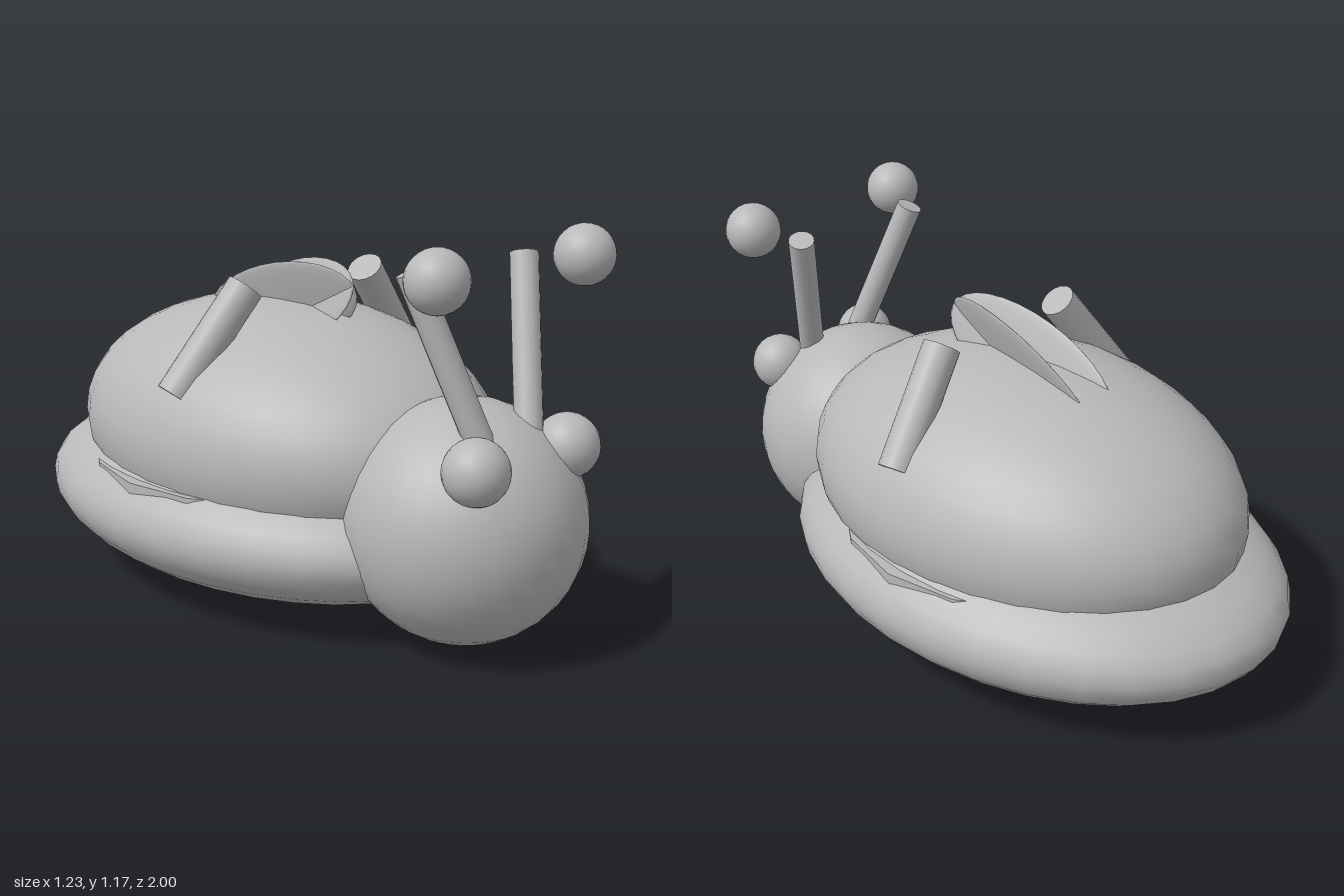
import * as THREE from 'three';

const grey = new THREE.MeshStandardMaterial({ color: 0xb8b8b8 });
grey.name = 'plain grey';

export function createModel() {
  const model = new THREE.Group();
  model.name = 'snail';

  const add = (name, geometry) => {
    const mesh = new THREE.Mesh(geometry, grey);
    mesh.name = name;
    model.add(mesh);
    return mesh;
  };

  // Ellipsoid from centre and radii
  const ellipsoid = (name, center, radii, w = 32, h = 20) =>
    add(name, new THREE.SphereGeometry(1, w, h).scale(...radii).translate(...center));

  // Straight rod between two points
  const rod = (name, from, to, radius) => {
    const a = new THREE.Vector3(...from), b = new THREE.Vector3(...to);
    const axis = b.clone().sub(a);
    const mesh = add(name, new THREE.CylinderGeometry(radius, radius, axis.length(), 16));
    mesh.position.copy(a).add(b).multiplyScalar(0.5);
    mesh.quaternion.setFromUnitVectors(new THREE.Vector3(0, 1, 0), axis.normalize());
  };

  // Main masses
  ellipsoid('body', [0, 0.265, -0.143], [0.615, 0.262, 0.857]);
  ellipsoid('shell', [0, 0.48, -0.1], [0.54, 0.39, 0.745]);
  ellipsoid('head', [0, 0.36, 0.655], [0.345, 0.345, 0.345]);

  // Flat disc between body and shell, showing only at the sides
  add('shellRim', new THREE.CylinderGeometry(0.57, 0.57, 0.15, 16)).position.set(0, 0.318, -0.13);

  for (const s of [1, -1]) {
    const side = s > 0 ? 'left' : 'right';

    // Eyes, stalks and the balls beside the stalk tips
    ellipsoid(side + 'Eye', [s * 0.18, 0.585, 0.86], [0.091, 0.091, 0.091], 24, 16);
    rod(side + 'Stalk', [s * 0.075, 0.55, 0.82], [s * 0.22, 1.08, 0.65], 0.04);
    ellipsoid(side + 'StalkBall', [s * 0.284, 1.087, 0.807], [0.085, 0.085, 0.085], 24, 16);

    // Stub horns on the shell
    rod(side + 'ShellHorn', [s * 0.46, 0.65, -0.05], [s * 0.235, 0.945, 0], 0.055);

    // Thin leaning leaf fins that cross on the ridge
    const normal = new THREE.Vector3(1, -0.33 * s, 0.164 * s).normalize().multiplyScalar(0.012);
    const up = new THREE.Vector3(0.363 * s, 0.957, -0.29).multiplyScalar(0.127);
    const along = new THREE.Vector3(-0.061 * s, 0.29, 0.957).multiplyScalar(0.32);
    const shape = new THREE.Matrix4().makeBasis(normal, up, along).setPosition(s * 0.017, 0.847, -0.1);
    add(side + 'Fin', new THREE.SphereGeometry(1, 24, 16).applyMatrix4(shape));
  }
  return model;
}
